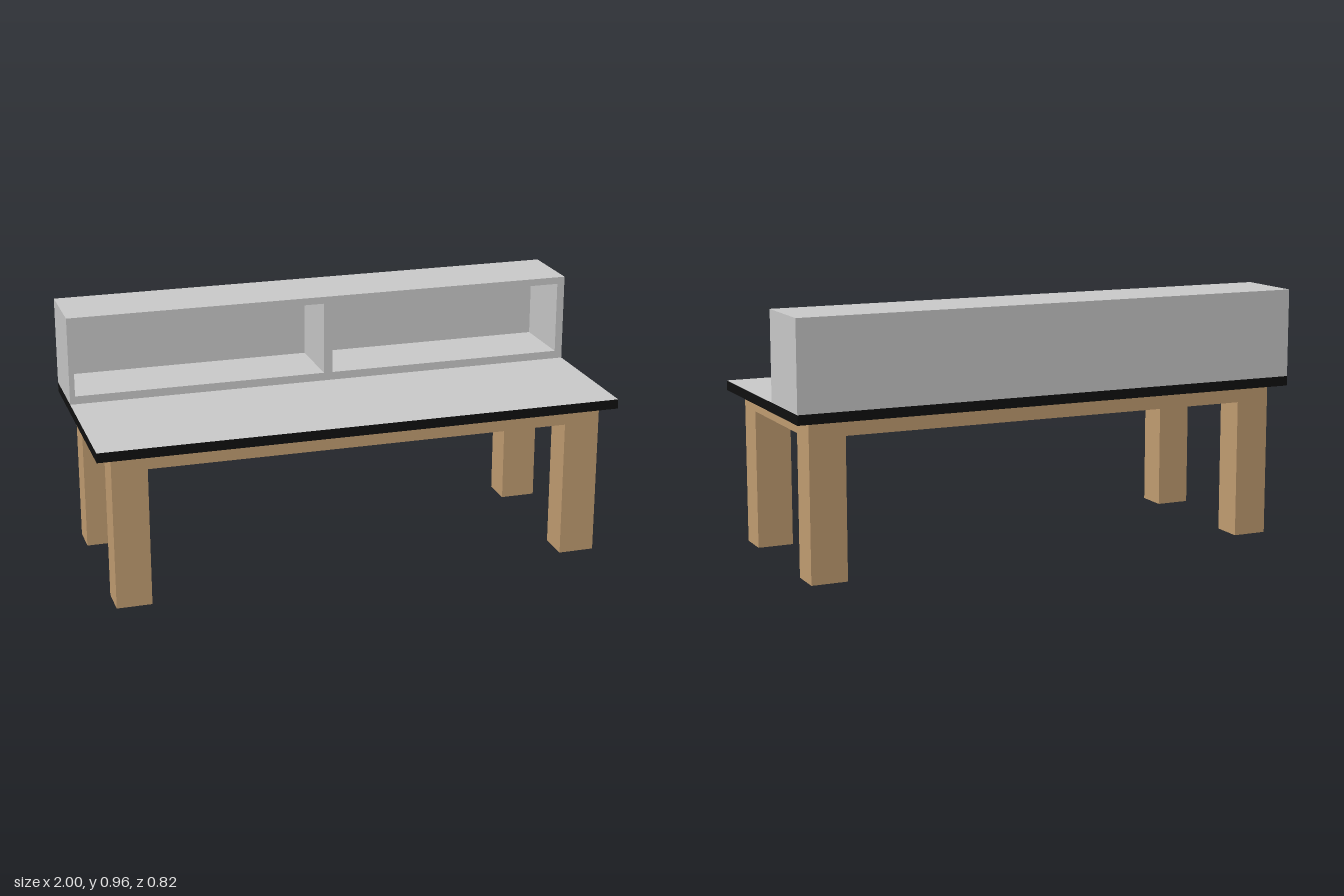
import * as THREE from 'three';

const grey = new THREE.MeshStandardMaterial({ color: 0xcccccc });
const wood = new THREE.MeshStandardMaterial({ color: 0xc49f73 });
const black = new THREE.MeshStandardMaterial({ color: 0x101010 });

// Box given by its limits on each axis
function box(name, [x0, x1], [y0, y1], [z0, z1], material) {
  const mesh = new THREE.Mesh(new THREE.BoxGeometry(x1 - x0, y1 - y0, z1 - z0), material);
  mesh.position.set((x0 + x1) / 2, (y0 + y1) / 2, (z0 + z1) / 2);
  mesh.name = name;
  return mesh;
}

// Adds a closed rectangle to a shape or a hole
function rectangle(path, x0, x1, y0, y1) {
  path.moveTo(x0, y0);
  path.lineTo(x1, y0);
  path.lineTo(x1, y1);
  path.lineTo(x0, y1);
  path.closePath();
  return path;
}

export function createModel() {
  const model = new THREE.Group();
  model.name = 'deskWithShelf';

  // Worktop: grey faces with a black edge band (order: +x, -x, +y, -y, +z, -z)
  model.add(box('worktop', [-1, 1], [0.59, 0.627], [-0.412, 0.412],
    [black, black, grey, grey, black, black]));

  // Apron under the worktop: wooden sides, grey underside
  model.add(box('apron', [-0.943, 0.943], [0.53, 0.59], [-0.362, 0.367],
    [wood, wood, grey, grey, wood, wood]));

  // Four square legs flush with the apron
  const legs = new THREE.Group();
  legs.name = 'legs';
  for (const [side, x] of [['left', [0.805, 0.943]], ['right', [-0.943, -0.81]]]) {
    legs.add(box(side + 'FrontLeg', x, [0, 0.53], [0.242, 0.367], wood));
    legs.add(box(side + 'BackLeg', x, [0, 0.53], [-0.362, -0.238], wood));
  }
  model.add(legs);

  // Shelf unit: frame with two open compartments and a thin back
  const shelf = new THREE.Group();
  shelf.name = 'shelfUnit';
  const outline = rectangle(new THREE.Shape(), -1, 1, 0.627, 0.965);
  for (const [x0, x1] of [[-0.98, -0.003], [0.032, 0.97]]) {
    outline.holes.push(rectangle(new THREE.Path(), x0, x1, 0.658, 0.938));
  }
  const frame = new THREE.Mesh(
    new THREE.ExtrudeGeometry(outline, { depth: 0.27, bevelEnabled: false }), grey);
  frame.position.z = -0.402;
  frame.name = 'shelfFrame';
  shelf.add(frame, box('shelfBack', [-1, 1], [0.627, 0.965], [-0.412, -0.402], grey));
  model.add(shelf);

  return model;
}
